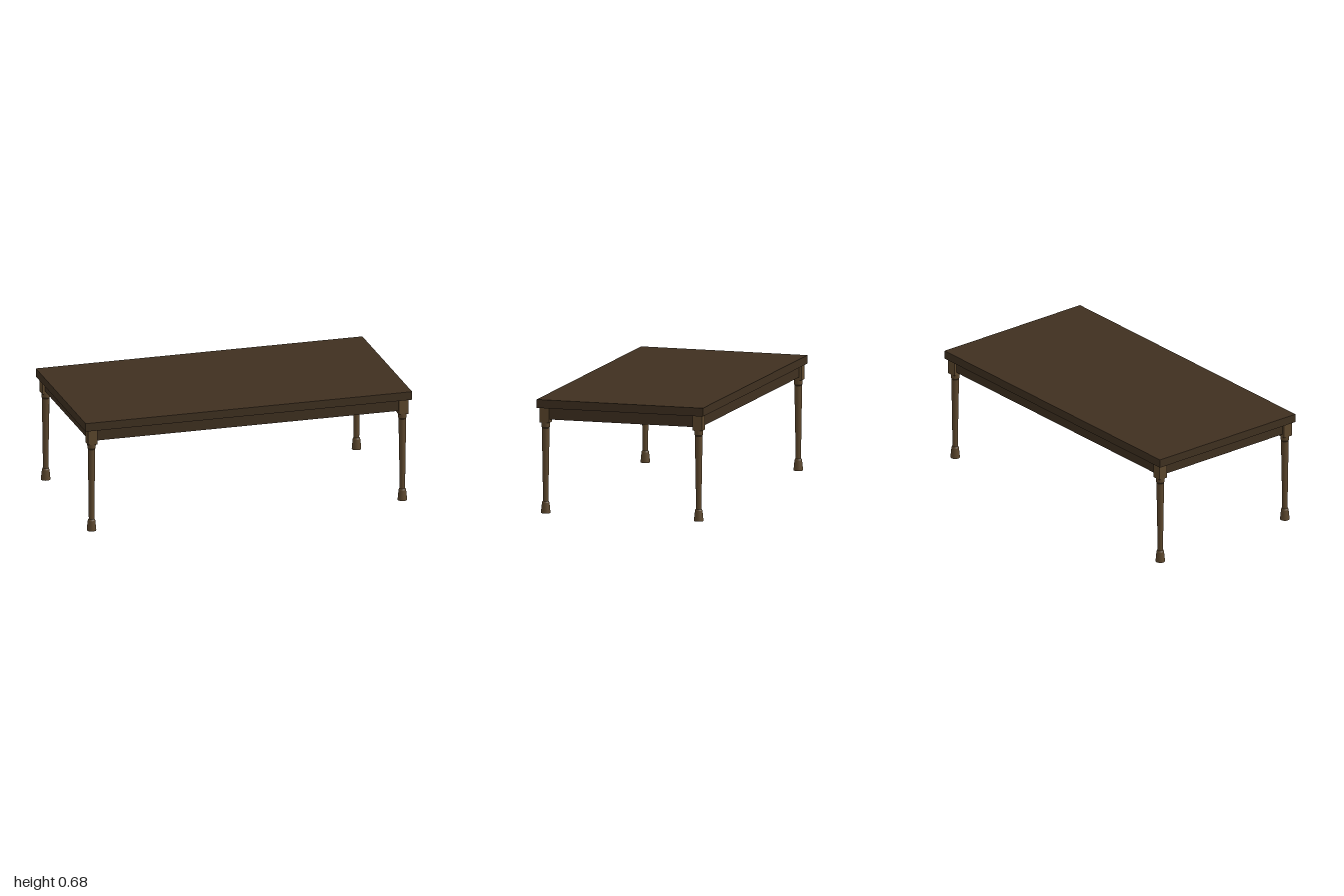
import * as THREE from 'three';

const darkWood = new THREE.MeshStandardMaterial({ color: 0x3f3020 });
const lightWood = new THREE.MeshStandardMaterial({ color: 0x5c472d });

function addBox(parent, name, size, pos, material) {
  const mesh = new THREE.Mesh(new THREE.BoxGeometry(...size), material);
  mesh.name = name;
  mesh.position.set(...pos);
  parent.add(mesh);
}

// Turned section between two heights; separate sections keep the rims crisp
function addTurned(parent, name, points) {
  const profile = points.map(([r, y]) => new THREE.Vector2(r, y));
  const mesh = new THREE.Mesh(new THREE.LatheGeometry(profile, 24), lightWood);
  mesh.name = name;
  parent.add(mesh);
}

function createLeg() {
  const leg = new THREE.Group();
  leg.name = 'leg';
  addBox(leg, 'legBlock', [0.058, 0.09, 0.058], [0, 0.585, 0], lightWood);
  // Collar under the square block
  addTurned(leg, 'collarLip', [[0, 0.505], [0.021, 0.505], [0.024, 0.512]]);
  addTurned(leg, 'collar', [[0.024, 0.512], [0.026, 0.541]]);
  // Tapered shaft
  addTurned(leg, 'shaft', [[0.016, 0.06], [0.0185, 0.28], [0.021, 0.4], [0.0215, 0.506]]);
  // Flared foot
  addTurned(leg, 'footShoulder', [[0.022, 0.062], [0.019, 0.07], [0.015, 0.071]]);
  addTurned(leg, 'foot', [[0.028, 0], [0.026, 0.025], [0.022, 0.062]]);
  addTurned(leg, 'footBase', [[0, 0], [0.028, 0]]);
  return leg;
}

export function createModel() {
  const table = new THREE.Group();
  table.name = 'table';
  const legX = 0.952, legZ = 0.472;

  addBox(table, 'tableTop', [2, 0.05, 1.026], [0, 0.655, 0], darkWood);

  // Apron rails running between the leg blocks
  for (const s of [-1, 1]) {
    addBox(table, 'longApron', [2 * legX - 0.05, 0.071, 0.028], [0, 0.5945, s * legZ], darkWood);
    addBox(table, 'shortApron', [0.028, 0.071, 2 * legZ - 0.05], [s * legX, 0.5945, 0], darkWood);
  }

  // Four legs
  for (const sx of [-1, 1]) {
    for (const sz of [-1, 1]) {
      const leg = createLeg();
      leg.position.set(sx * legX, 0, sz * legZ);
      table.add(leg);
    }
  }
  return table;
}
